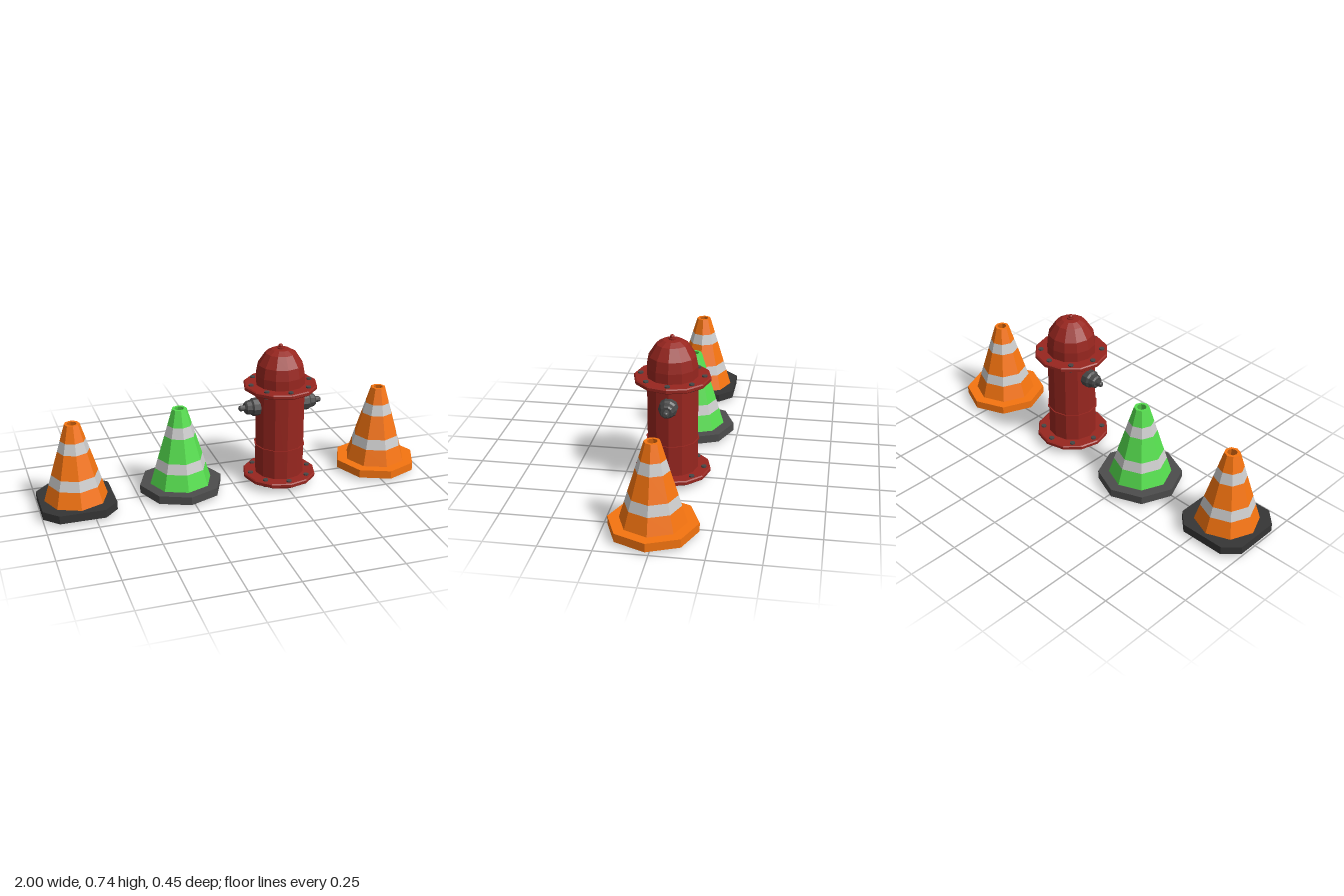
import * as THREE from 'three';

const mat = (color) => new THREE.MeshStandardMaterial({ color, flatShading: true });
const ORANGE = mat(0xf57410), GREEN = mat(0x55dd4e), WHITE = mat(0xcccccc);
const BLACK = mat(0x353535), GREY = mat(0x4c4c4c), RED = mat(0x98261f), IRON = mat(0x474747);

function add(parent, name, geometry, material) {
  const mesh = new THREE.Mesh(geometry, material);
  mesh.name = name;
  parent.add(mesh);
  return mesh;
}

// Faceted turned part; the profile is [radius, height] pairs, bottom to top on the outside
const turned = (profile, sides) =>
  new THREE.LatheGeometry(profile.map(([r, y]) => new THREE.Vector2(r, y)), sides);

const BASE_Y = 0.015, BODY_Y = 0.057, TOP_Y = 0.45;
const coneRadius = (y) => THREE.MathUtils.mapLinear(y, BODY_Y, TOP_Y, 0.158, 0.038);

function trafficCone(name, bodyMaterial, baseMaterial, solidBase) {
  const cone = new THREE.Group();
  cone.name = name;

  // Alternating coloured bands and reflective stripes
  const levels = [BODY_Y, 0.14, 0.192, 0.312, 0.367, TOP_Y];
  for (let i = 0; i < levels.length - 1; i++) {
    const [a, b] = [levels[i], levels[i + 1]];
    const stripe = i % 2 === 1;
    add(cone, stripe ? 'reflectiveStripe' : 'coneBand',
      turned([[coneRadius(a), a], [coneRadius(b), b]], 8), stripe ? WHITE : bodyMaterial);
  }

  // Top rim and hollow inside
  add(cone, 'rimAndInnerWall',
    turned([[0.038, TOP_Y], [0.024, TOP_Y], [0.145, solidBase ? BODY_Y : BASE_Y]], 8), bodyMaterial);

  if (solidBase) {
    // Square foot with cut corners
    const h = 0.183, c = h - 0.07;
    const outline = new THREE.Shape(
      [[h, -c], [h, c], [c, h], [-c, h], [-h, c], [-h, -c], [-c, -h], [c, -h]]
        .map(([x, y]) => new THREE.Vector2(x, y)));
    const foot = new THREE.ExtrudeGeometry(outline, { depth: BODY_Y - BASE_Y, bevelEnabled: false });
    foot.rotateX(-Math.PI / 2).translate(0, BASE_Y, 0);
    add(cone, 'solidFoot', foot, baseMaterial);
  } else {
    // Octagonal foot, open underneath
    add(cone, 'openFoot',
      turned([[0.145, BASE_Y], [0.212, BASE_Y], [0.212, BODY_Y], [0.15, BODY_Y]], 8), baseMaterial);
  }
  return cone;
}

function boltedFlange(name, y) {
  const flange = new THREE.Group();
  flange.name = name;
  add(flange, 'flangeDisc', turned([
    [0.12, -0.012], [0.182, -0.012], [0.188, -0.007], [0.188, 0.007], [0.182, 0.012], [0.12, 0.012],
  ], 12), RED);
  const boltGeometry = new THREE.CylinderGeometry(0.0135, 0.0135, 0.038, 8);
  for (let i = 0; i < 8; i++) {
    const a = (i / 8) * Math.PI * 2;
    add(flange, 'flangeBolt', boltGeometry, IRON)
      .position.set(0.155 * Math.sin(a), 0, 0.155 * Math.cos(a));
  }
  flange.position.y = y;
  return flange;
}

function hydrant() {
  const group = new THREE.Group();
  group.name = 'hydrant';

  // Barrel with a recess underneath and a domed top
  add(group, 'barrelAndDome', turned([
    [0, 0.05], [0.105, 0.05], [0.105, 0], [0.125, 0], [0.125, 0.588], [0.115, 0.642],
    [0.077, 0.70], [0.045, 0.718], [0, 0.722],
  ], 12), RED);
  add(group, 'barrelSeam', turned([
    [0.12, 0.207], [0.131, 0.207], [0.131, 0.213], [0.12, 0.213],
  ], 12), RED);
  add(group, 'topNut', turned([
    [0.018, 0.715], [0.018, 0.728], [0.011, 0.728], [0.011, 0.738], [0.008, 0.742], [0, 0.742],
  ], 12), RED);
  group.add(boltedFlange('lowerFlange', 0.043), boltedFlange('upperFlange', 0.526));

  // Side outlets with stepped caps
  const outlet = turned([
    [0.046, 0.1], [0.046, 0.148], [0.038, 0.157], [0.034, 0.18], [0.027, 0.188],
    [0.016, 0.188], [0.014, 0.213], [0.009, 0.219], [0, 0.219],
  ], 10);
  for (const side of [1, -1]) {
    const mesh = add(group, side > 0 ? 'leftOutlet' : 'rightOutlet', outlet, IRON);
    mesh.rotation.z = -side * Math.PI / 2;
    mesh.position.y = 0.422;
  }
  return group;
}

export function createModel() {
  const model = new THREE.Group();
  model.name = 'streetProps';
  const place = (object, x, z) => {
    object.position.set(x, 0, z);
    model.add(object);
  };
  place(trafficCone('orangeConeDarkFoot', ORANGE, BLACK, true), -0.817, 0.01);
  place(trafficCone('greenCone', GREEN, GREY, false), -0.276, -0.016);
  place(hydrant(), 0.244, 0.015);
  place(trafficCone('orangeCone', ORANGE, ORANGE, false), 0.788, 0.015);
  return model;
}
